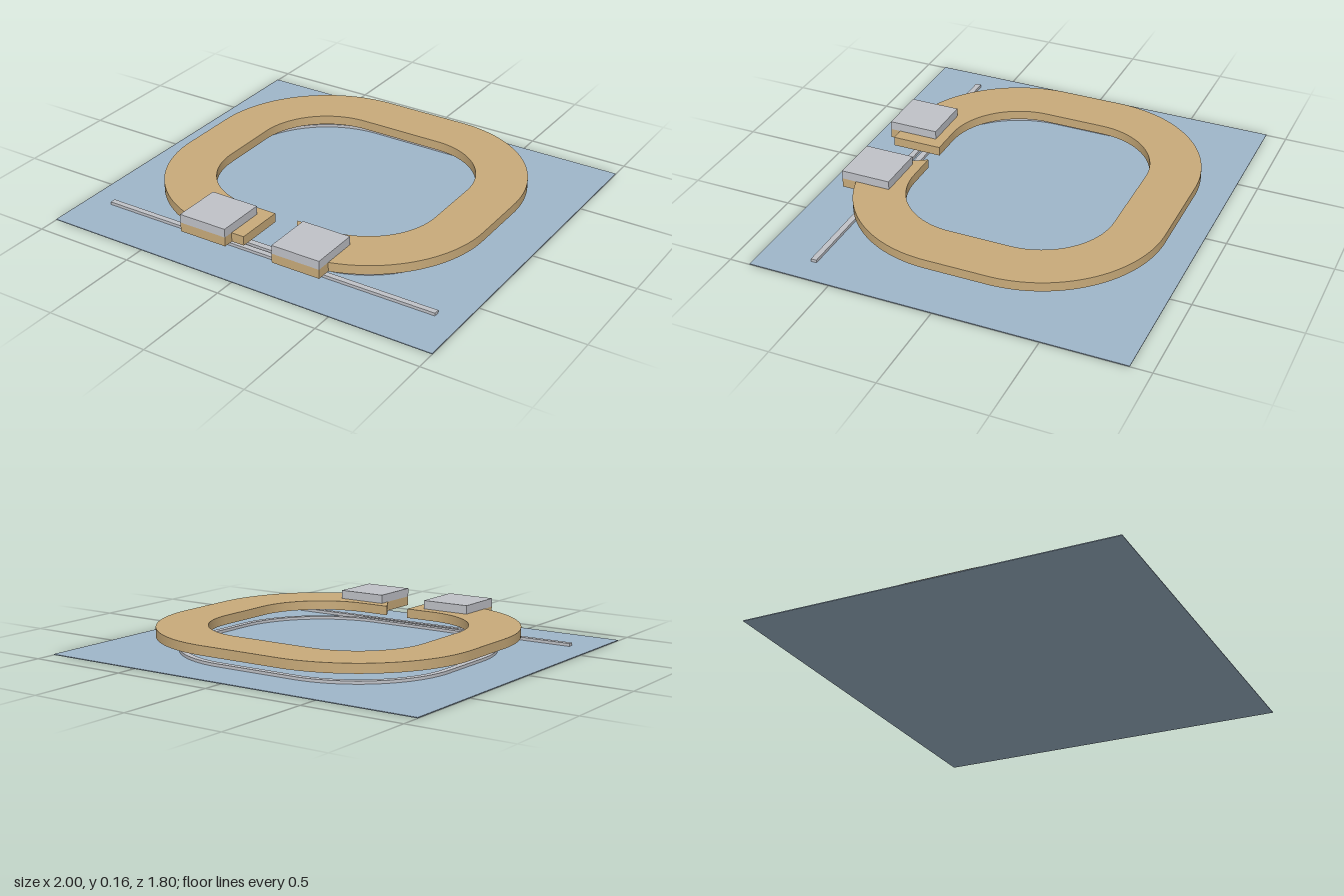
import * as THREE from 'three';
import { toCreasedNormals } from 'three/addons/utils/BufferGeometryUtils.js';

// Corner arc centres of the loop, in plan (shape y = -z)
const CX = 0.21, CY_FRONT = -0.12, CY_BACK = 0.175;
const PI = Math.PI;

// Adds the four rounded corners counter-clockwise, front right corner first
function loopCCW(path, r) {
  path.absarc(CX, CY_FRONT, r, -PI / 2, 0, false);
  path.absarc(CX, CY_BACK, r, 0, PI / 2, false);
  path.absarc(-CX, CY_BACK, r, PI / 2, PI, false);
  path.absarc(-CX, CY_FRONT, r, PI, 1.5 * PI, false);
  return path;
}

// Same loop clockwise, front left corner first
function loopCW(path, r) {
  path.absarc(-CX, CY_FRONT, r, 1.5 * PI, PI, true);
  path.absarc(-CX, CY_BACK, r, PI, PI / 2, true);
  path.absarc(CX, CY_BACK, r, PI / 2, 0, true);
  path.absarc(CX, CY_FRONT, r, 0, -PI / 2, true);
  return path;
}

// Extrudes a plan shape upwards from y0 to y1
function slab(shape, y0, y1) {
  const geo = new THREE.ExtrudeGeometry(shape, { depth: y1 - y0, bevelEnabled: false, curveSegments: 20 });
  geo.rotateX(-PI / 2);
  geo.translate(0, y0, 0);
  return toCreasedNormals(geo, 0.5);
}

export function createModel() {
  const group = new THREE.Group();
  const plateBlue = new THREE.MeshStandardMaterial({ name: 'plateBlue', color: 0x9fb6ca });
  const tan = new THREE.MeshStandardMaterial({ name: 'tan', color: 0xc9ab7a });
  const grey = new THREE.MeshStandardMaterial({ name: 'grey', color: 0xc0c2c8 });

  function add(name, geo, material) {
    const mesh = new THREE.Mesh(geo, material);
    mesh.name = name;
    group.add(mesh);
  }
  function box(name, material, [x0, x1], [y0, y1], [z0, z1]) {
    const geo = new THREE.BoxGeometry(x1 - x0, y1 - y0, z1 - z0);
    geo.translate((x0 + x1) / 2, (y0 + y1) / 2, (z0 + z1) / 2);
    add(name, geo, material);
  }

  // Thin base sheet
  box('basePlate', plateBlue, [-1, 1], [0, 0.004], [-0.9, 0.9]);

  // Wide raised loop with a gap at the front
  const gap = 0.06, outer = 0.6, inner = 0.355;
  const split = new THREE.Shape();
  split.moveTo(gap, CY_FRONT - outer);
  loopCCW(split, outer);
  split.lineTo(-gap, CY_FRONT - outer);
  split.lineTo(-gap, CY_FRONT - inner);
  loopCW(split, inner);
  split.lineTo(gap, CY_FRONT - inner);
  split.closePath();
  add('splitLoop', slab(split, 0.075, 0.12), tan);

  // Narrow closed loop on the sheet, below the middle of the wide one
  const narrow = loopCCW(new THREE.Shape(), 0.493);
  narrow.closePath();
  const hole = loopCW(new THREE.Path(), 0.463);
  hole.closePath();
  narrow.holes.push(hole);
  add('narrowLoop', slab(narrow, 0.004, 0.018), grey);

  // Straight feed line running past the front of the narrow loop
  box('feedLine', grey, [-0.875, 0.875], [0.004, 0.018], [0.63, 0.658]);

  // Contact pads on both sides of the gap
  for (const [side, x] of [['left', [0.125, 0.37]], ['right', [-0.37, -0.125]]]) {
    box(side + 'PadBase', tan, x, [0.075, 0.12], [0.525, 0.77]);
    box(side + 'Pad', grey, x, [0.12, 0.162], [0.525, 0.77]);
  }
  return group;
}
